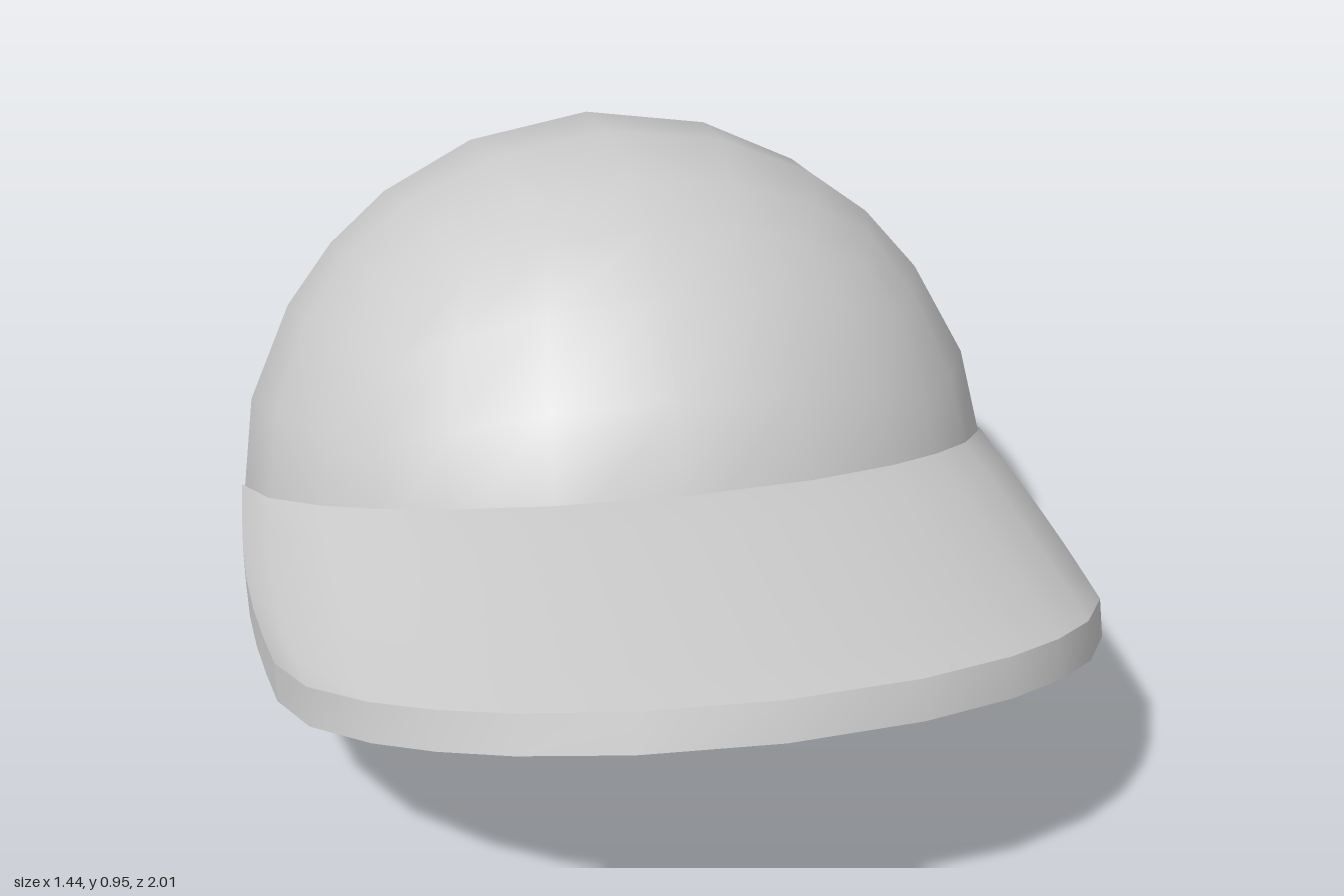
import * as THREE from 'three';

const R = 0.705, SHELL = 0.025;           // crown radius and cloth thickness
const TILT = THREE.MathUtils.degToRad(20.3);
const CENTRE = new THREE.Vector3(0, 0.25, -0.3);
const BRIM_LENGTH = 0.645, BRIM_THICKNESS = 0.065;

const material = new THREE.MeshStandardMaterial({ color: 0xcccccc });

// Azimuth of the k-th of 24 rim points (a square grid projected on a circle)
function rimAngle(k) {
  const side = Math.round(k / 6);
  return side * Math.PI / 2 + Math.atan((k - 6 * side) / 3);
}

// Smooth surface patch from f(i, j); faces along di x dj unless flipped
function patch(nu, nv, f, flip = false) {
  const pos = [], index = [];
  for (let i = 0; i <= nu; i++) {
    for (let j = 0; j <= nv; j++) {
      pos.push(...f(i, j).toArray());
      if (i === nu || j === nv) continue;
      const a = i * (nv + 1) + j, b = a + nv + 1;
      if (flip) index.push(a, b + 1, b, a, a + 1, b + 1);
      else index.push(a, b, b + 1, a, b + 1, a + 1);
    }
  }
  const g = new THREE.BufferGeometry();
  g.setAttribute('position', new THREE.Float32BufferAttribute(pos, 3));
  g.setIndex(index);
  g.computeVertexNormals();
  return g;
}

// Half a cube pushed out to a sphere, open at the bottom
function hemisphere(radius, inward) {
  const g = new THREE.BoxGeometry(2, 1, 2, 6, 3, 6).translate(0, 0.5, 0);
  const bottom = g.groups[3];
  const index = Array.from(g.index.array);
  index.splice(bottom.start, bottom.count);
  if (inward) index.reverse();
  g.setIndex(index);
  g.clearGroups();
  const p = g.attributes.position, n = g.attributes.normal, v = new THREE.Vector3();
  for (let i = 0; i < p.count; i++) {
    v.fromBufferAttribute(p, i).normalize();
    const s = inward ? -1 : 1;
    n.setXYZ(i, v.x * s, v.y * s, v.z * s);
    p.setXYZ(i, v.x * radius, v.y * radius, v.z * radius);
  }
  return g;
}

// Brim point: front rim arc (k -6..6) slid forward by t, raised by w
function brimPoint(k, t, w) {
  const a = rimAngle(k), r = R - 0.005;
  const p = new THREE.Vector3(r * Math.sin(a), w * BRIM_THICKNESS, r * Math.cos(a));
  p.applyAxisAngle(new THREE.Vector3(1, 0, 0), -TILT).add(CENTRE);
  p.z += t * BRIM_LENGTH;
  // the sides bow outward and down a little
  const bow = Math.sin(Math.PI * t) * 0.02 * Math.pow(Math.abs(Math.sin(a)), 4);
  p.x += Math.sign(p.x) * bow;
  p.y -= bow;
  return p;
}

export function createModel() {
  const model = new THREE.Group();
  model.name = 'cap';
  const add = (parent, name, geometry) => {
    const m = new THREE.Mesh(geometry, material);
    m.name = name;
    parent.add(m);
  };

  // Crown: outer and inner shell joined by the rim
  const crown = new THREE.Group();
  crown.name = 'crown';
  crown.position.copy(CENTRE);
  crown.rotation.x = -TILT;
  model.add(crown);
  add(crown, 'crownOutside', hemisphere(R, false));
  add(crown, 'crownLining', hemisphere(R - SHELL, true));
  add(crown, 'crownRim', patch(24, 1, (i, j) => {
    const a = rimAngle(i), r = R - SHELL * (1 - j);
    return new THREE.Vector3(r * Math.sin(a), 0, r * Math.cos(a));
  }));

  // Brim: curved slab with sharp edges
  const brim = new THREE.Group();
  brim.name = 'brim';
  model.add(brim);
  const N = 6;
  add(brim, 'brimTop', patch(12, N, (i, j) => brimPoint(i - 6, j / N, 1), true));
  add(brim, 'brimUnderside', patch(12, N, (i, j) => brimPoint(i - 6, j / N, 0)));
  add(brim, 'brimFrontEdge', patch(12, 1, (i, j) => brimPoint(i - 6, 1, j)));
  add(brim, 'brimBackEdge', patch(12, 1, (i, j) => brimPoint(i - 6, 0, j), true));
  add(brim, 'brimLeftEdge', patch(N, 1, (i, j) => brimPoint(6, i / N, j), true));
  add(brim, 'brimRightEdge', patch(N, 1, (i, j) => brimPoint(-6, i / N, j)));

  return model;
}
